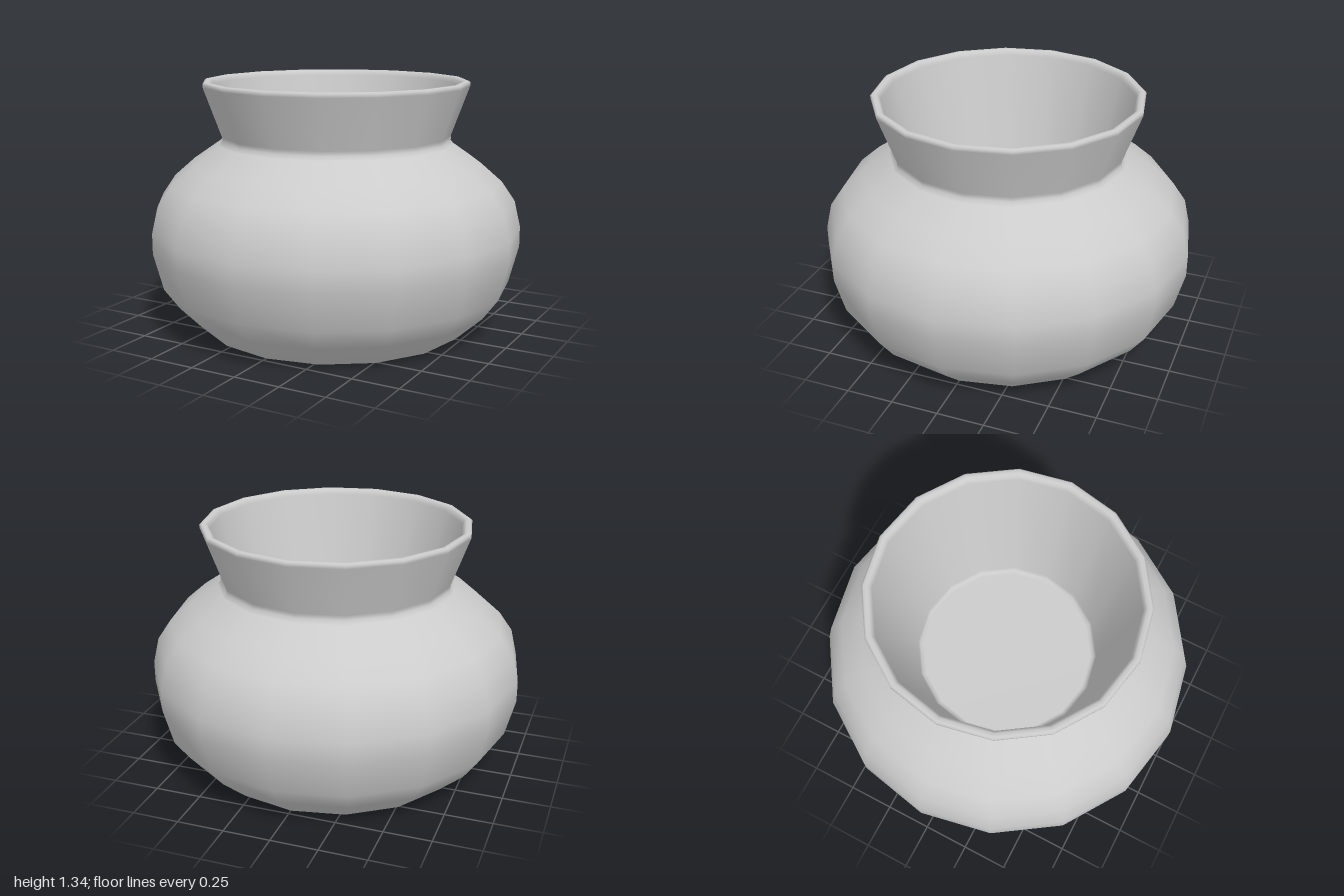
import * as THREE from 'three';

const SIDES = 16;

function lathe(name, profile, material) {
  const points = profile.map(([r, y]) => new THREE.Vector2(r, y));
  const mesh = new THREE.Mesh(new THREE.LatheGeometry(points, SIDES), material);
  mesh.name = name;
  return mesh;
}

export function createModel() {
  const group = new THREE.Group();
  group.name = 'pot';
  const material = new THREE.MeshStandardMaterial({ color: 0xcccccc, side: THREE.DoubleSide });

  // One continuous wall: open base, round belly, flared neck, rounded lip,
  // then the tapered inner cup that hangs inside the hollow belly
  group.add(lathe('potWall', [
    // belly
    [0.72, 0], [0.868, 0.135], [0.948, 0.245], [1, 0.445], [1, 0.555],
    [0.967, 0.695], [0.895, 0.8], [0.78, 0.9],
    // neck crease and flare
    [0.635, 1.0], [0.618, 1.02], [0.618, 1.045], [0.714, 1.31],
    // lip
    [0.715, 1.327], [0.705, 1.335], [0.685, 1.335], [0.672, 1.325],
    // inner cup and its floor
    [0.665, 1.305], [0.495, 0.595], [0.485, 0.575], [0.465, 0.567], [0, 0.567],
  ], material));

  return group;
}
